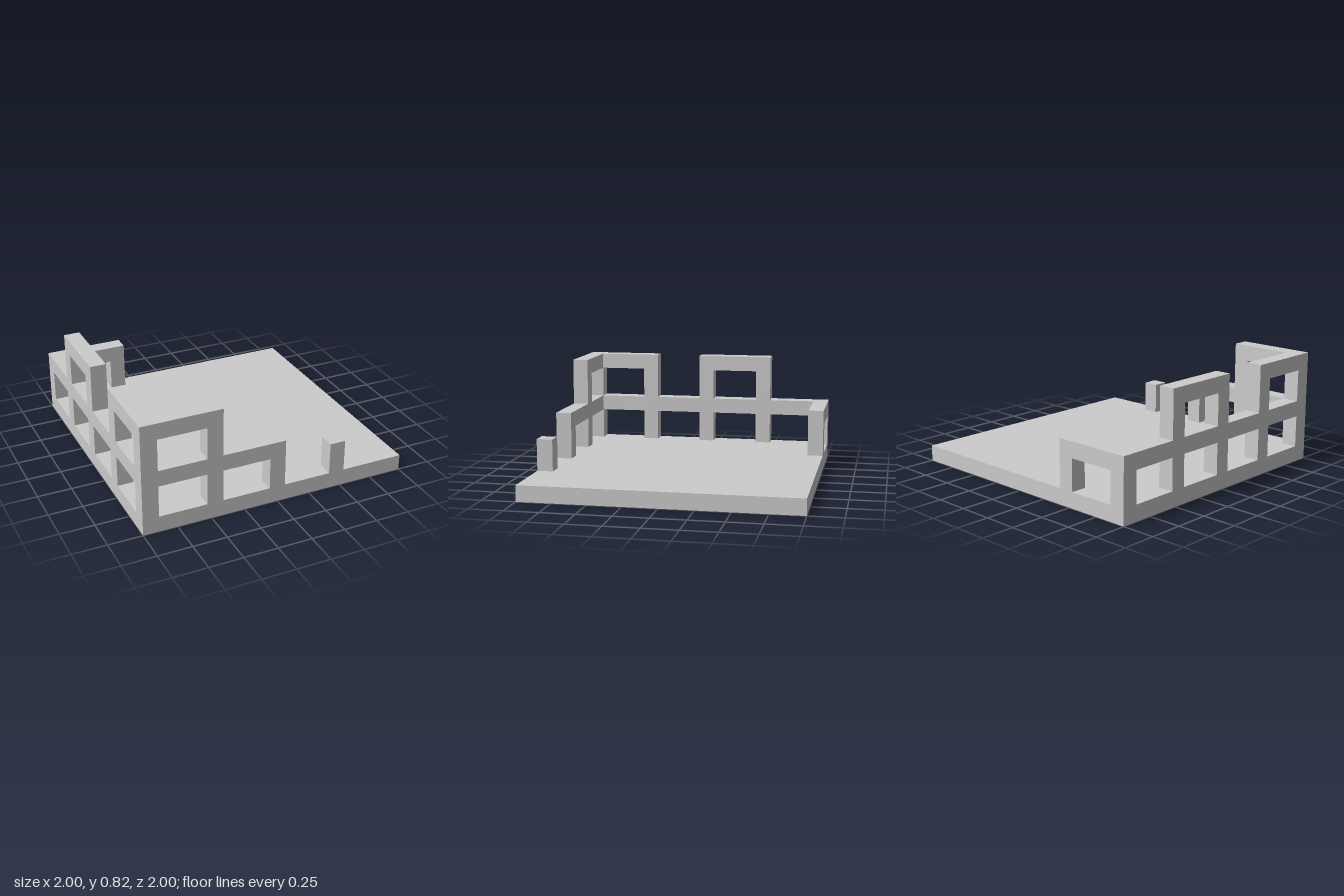
import * as THREE from 'three';

const CELLS = 17;          // the plan is 17 x 17 cells
const U = 2 / CELLS;       // one cell, also the thickness of posts and beams
const HALF = CELLS / 2;

const material = new THREE.MeshStandardMaterial({ color: 0xcccccc, flatShading: true });

const toPoints = (list) => list.map(([a, b]) => new THREE.Vector2(a, b));

// One-cell-thick wall cut from an outline in cells, with an optional window
function wall(name, outline, window) {
  const shape = new THREE.Shape(toPoints(outline));
  if (window) {
    const [a, b, c, d] = window;
    shape.holes.push(new THREE.Path(toPoints([[a, b], [a, d], [c, d], [c, b]])));
  }
  const geometry = new THREE.ExtrudeGeometry(shape, { depth: 1, bevelEnabled: false });
  const mesh = new THREE.Mesh(geometry, material);
  mesh.name = name;
  return mesh;
}

function block(name, w, h, d, x, y, z) {
  const mesh = new THREE.Mesh(new THREE.BoxGeometry(w, h, d), material);
  mesh.name = name;
  mesh.position.set(x, y, z);
  return mesh;
}

export function createModel() {
  const model = new THREE.Group();
  model.name = 'ruinedFrame';

  // Floor slab
  model.add(block('floorSlab', CELLS, 1, CELLS, 0, 0.5, 0));

  // Front wall: stepped frame, two storeys at the corner
  const front = wall('frontWall', [
    [0, 1], [1, 1], [1, 3], [4, 3], [4, 1], [5, 1], [5, 3], [8, 3], [8, 1], [9, 1],
    [9, 4], [5, 4], [5, 7], [0, 7],
  ], [1, 4, 4, 6]);
  front.position.set(-HALF, 0, HALF - 1);
  model.add(front);

  // Back wall: a single one-storey bay
  const back = wall('backWall', [
    [0, 1], [1, 1], [1, 3], [4, 3], [4, 1], [5, 1], [5, 4], [0, 4],
  ]);
  back.position.set(-HALF, 0, -HALF);
  model.add(back);

  // Side wall between the two corner posts, running from back to front
  const side = wall('sideWall', [
    [1, 3], [4, 3], [4, 1], [5, 1], [5, 3], [8, 3], [8, 1], [9, 1], [9, 3], [12, 3],
    [12, 1], [13, 1], [13, 3], [16, 3], [16, 4], [13, 4], [13, 6], [16, 6], [16, 7],
    [12, 7], [12, 4], [9, 4], [9, 7], [4, 7], [4, 4], [1, 4],
  ], [5, 4, 8, 6]);
  side.rotation.y = -Math.PI / 2;
  side.position.set(1 - HALF, 0, -HALF);
  model.add(side);

  // Lone post on the front edge
  model.add(block('lonePost', 1, 2, 1, 12.5 - HALF, 2, HALF - 0.5));

  model.scale.setScalar(U);
  const root = new THREE.Group();
  root.name = 'model';
  root.add(model);
  return root;
}
